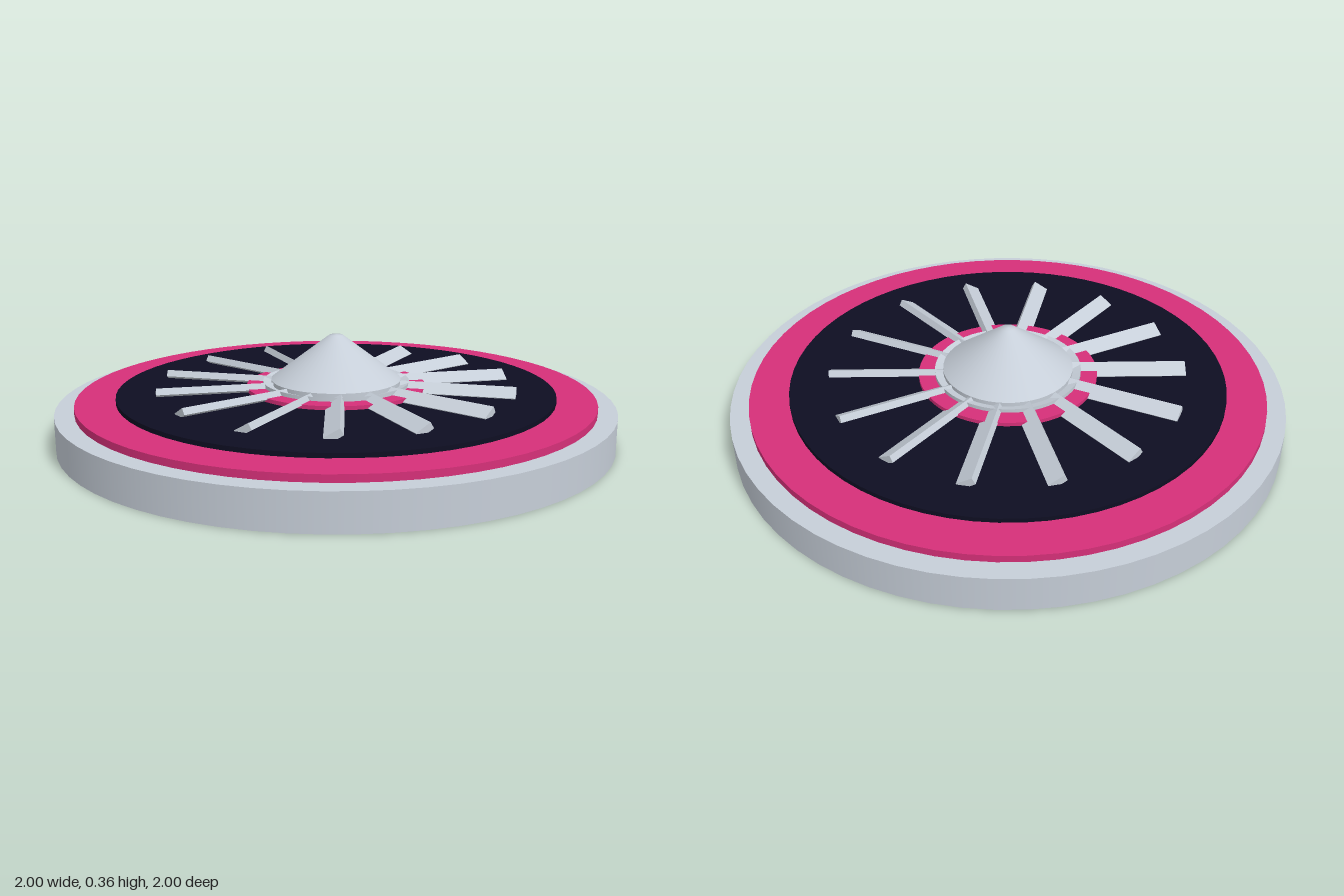
import * as THREE from 'three';

function material(name, color) {
  const m = new THREE.MeshStandardMaterial({ color });
  m.name = name;
  return m;
}

export function createModel() {
  const silver = material('silver', 0xc6ced8);
  const pink = material('pink', 0xd63079);
  const navy = material('navy', 0x0e0e22);
  const model = new THREE.Group();
  model.name = 'turbineDisc';

  const add = (name, geometry, mat) => {
    const mesh = new THREE.Mesh(geometry, mat);
    mesh.name = name;
    model.add(mesh);
    return mesh;
  };
  const disc = (name, radius, y0, y1, mat) => {
    add(name, new THREE.CylinderGeometry(radius, radius, y1 - y0, 64), mat).position.y = (y0 + y1) / 2;
  };

  // Stacked discs
  disc('base', 1, 0, 0.125, silver);
  disc('outerRing', 0.932, 0.125, 0.15, pink);
  disc('darkFace', 0.79, 0.15, 0.166, navy);
  disc('innerRing', 0.325, 0.166, 0.18, pink);

  // Shallow dished collar around the nose cone
  const collar = [[0.266, 0.17], [0.266, 0.194], [0.266, 0.194], [0.225, 0.182]];
  add('collar', new THREE.LatheGeometry(collar.map(p => new THREE.Vector2(...p)), 64), silver);

  // Nose cone with a small flat, softly shaded tip
  const nose = [[0.236, 0.175], [0.236, 0.2], [0.236, 0.2], [0.025, 0.36], [0, 0.362]];
  add('noseCone', new THREE.LatheGeometry(nose.map(p => new THREE.Vector2(...p)), 48), silver);

  // Pitched fan blades
  const count = 14;
  const bladeGeometry = new THREE.BoxGeometry(0.06, 0.025, 0.42);
  bladeGeometry.rotateZ(Math.PI / 6);
  bladeGeometry.translate(0, 0.173, 0.44);
  for (let i = 0; i < count; i++) {
    add('blade' + (i + 1), bladeGeometry, silver).rotation.y = Math.PI / 2 + (i * 2 * Math.PI) / count;
  }
  return model;
}
